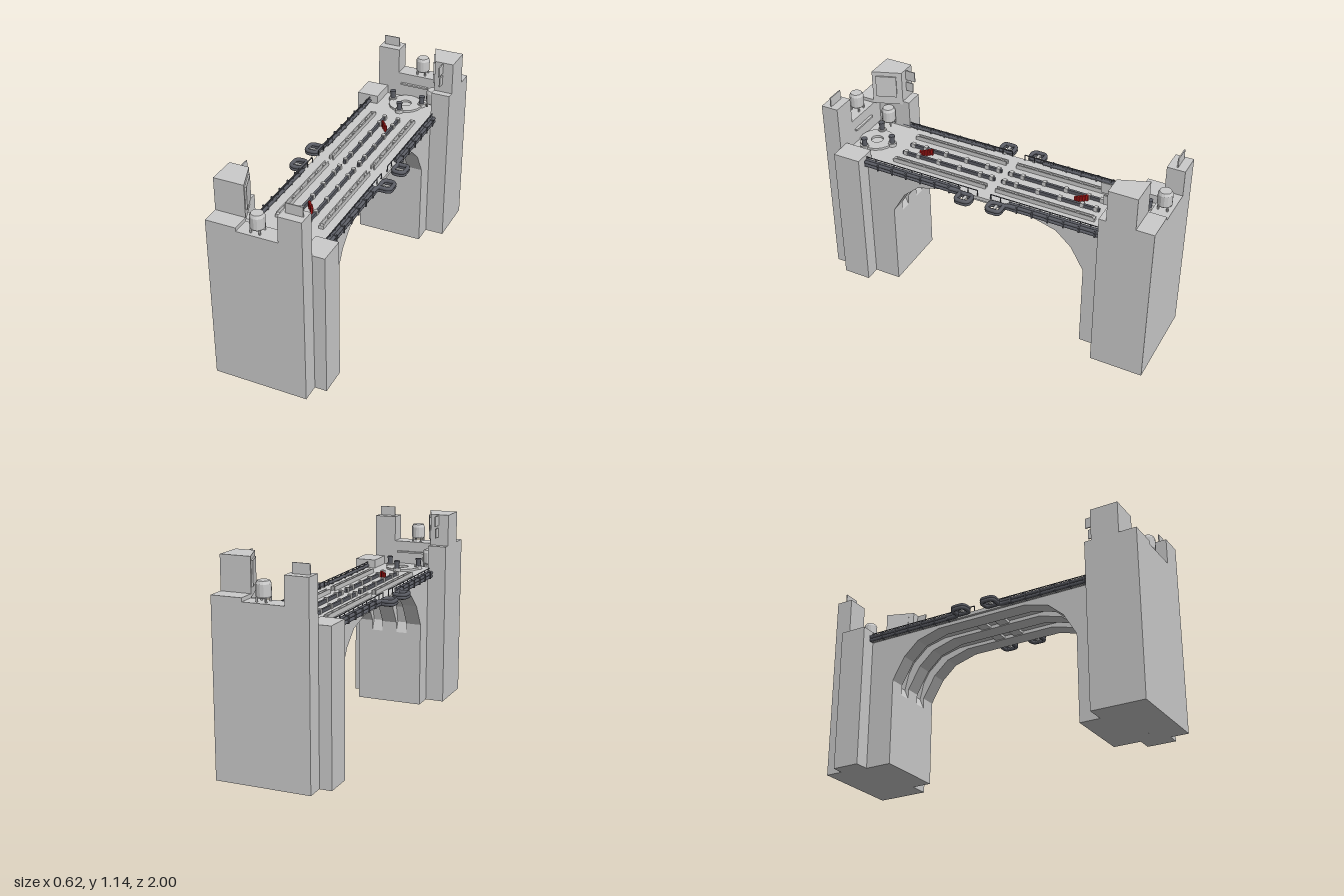
import * as THREE from 'three';

const grey = new THREE.MeshStandardMaterial({ color: 0xcccccc, flatShading: true });
const dark = new THREE.MeshStandardMaterial({ color: 0x5c5e66 });
const red = new THREE.MeshStandardMaterial({ color: 0xb01818 });

function add(group, name, geometry, material = grey) {
  const mesh = new THREE.Mesh(geometry, material);
  mesh.name = name;
  group.add(mesh);
  return mesh;
}

// Box given by its limits on each axis
function box(group, name, [x0, x1], [y0, y1], [z0, z1], material) {
  const g = new THREE.BoxGeometry(x1 - x0, y1 - y0, z1 - z0);
  g.translate((x0 + x1) / 2, (y0 + y1) / 2, (z0 + z1) / 2);
  return add(group, name, g, material);
}

function cylinder(group, name, r, y0, y1, x, z, sides, material) {
  const g = new THREE.CylinderGeometry(r, r, y1 - y0, sides);
  g.translate(x, (y0 + y1) / 2, z);
  return add(group, name, g, material);
}

const shapeOf = pts => new THREE.Shape(pts.map(p => new THREE.Vector2(...p)));

// Side profile of (z, y) points, extruded across x
function sideProfile(group, name, pts, x0, x1) {
  const g = new THREE.ExtrudeGeometry(shapeOf(pts), { depth: x1 - x0, bevelEnabled: false });
  g.rotateY(-Math.PI / 2).translate(x1, 0, 0);
  return add(group, name, g);
}

// Plan of (x, z) points, extruded between two heights
function plan(group, name, pts, y0, y1) {
  const g = new THREE.ExtrudeGeometry(shapeOf(pts), { depth: y1 - y0, bevelEnabled: false });
  g.rotateX(Math.PI / 2).translate(0, y1, 0);
  return add(group, name, g);
}

// Pipe along z with round section
function pipe(group, name, r, x, y, z0, z1) {
  const g = new THREE.CylinderGeometry(r, r, z1 - z0, 8);
  g.rotateX(Math.PI / 2).translate(x, y, (z0 + z1) / 2);
  return add(group, name, g, dark);
}

// Storage tank with tapered ends, standing on short legs
function tank(group, x, y, z) {
  const t = new THREE.Group();
  t.name = 'tank';
  const profile = [[0, 0.02], [0.034, 0.02], [0.04, 0.03], [0.04, 0.09], [0.032, 0.106], [0, 0.106]];
  add(t, 'tankBody', new THREE.LatheGeometry(profile.map(p => new THREE.Vector2(...p)), 14));
  for (let i = 0; i < 4; i++) {
    const a = Math.PI / 4 + i * Math.PI / 2;
    cylinder(t, 'tankLeg', 0.006, 0, 0.025, 0.035 * Math.cos(a), 0.035 * Math.sin(a), 6);
  }
  t.position.set(x, y, z);
  group.add(t);
}

// Pier, end wall and tower
function buildTower(g) {
  // End wall with a notch for the tank
  const wall = [[-0.31, 0], [0.22, 0], [0.22, 1.09], [0.09, 1.09], [0.09, 0.94], [-0.14, 0.94], [-0.14, 0.96], [-0.31, 0.96]];
  const wg = new THREE.ExtrudeGeometry(shapeOf(wall), { depth: 0.1, bevelEnabled: false });
  add(g, 'endWall', wg.translate(0, 0, 0.9));
  box(g, 'wallLedge', [-0.1, 0.07], [0.87, 0.88], [0.885, 0.9]);
  box(g, 'wallSign', [0.11, 0.205], [1.09, 1.145], [0.947, 0.953]);
  box(g, 'tallButtress', [-0.31, -0.2], [0, 0.96], [0.7, 0.9]);
  box(g, 'lowButtress', [0.16, 0.288], [0, 0.84], [0.74, 0.9]);
  // Tower with a slanted inner face carrying a screen
  plan(g, 'tower', [[-0.31, 0.74], [-0.2, 0.74], [-0.14, 0.9], [-0.31, 0.9]], 0.94, 1.145);
  const screen = add(g, 'screen', new THREE.BoxGeometry(0.012, 0.13, 0.118));
  screen.position.set(-0.166, 1.055, 0.824);
  screen.rotation.y = Math.atan2(0.06, 0.16);
  box(g, 'upperSign', [-0.25, -0.244], [1.08, 1.14], [0.68, 0.745]);
  box(g, 'lowerSign', [-0.25, -0.244], [1.01, 1.065], [0.695, 0.745]);
  tank(g, -0.045, 0.94, 0.95);
  tank(g, -0.165, 0.81, 0.82);
}

// Half of the arch: solid pier, three ribs and the recessed vault between them
function buildArch(g) {
  const ribProfile = [[0.9, 0], [0.9, 0.77], [0, 0.77], [0, 0.75], [0.28, 0.75], [0.42, 0.71], [0.51, 0.63], [0.585, 0.5], [0.585, 0]];
  const vault = [[0.9, 0], [0.9, 0.79], [0, 0.79], [0, 0.78], [0.3, 0.78], [0.46, 0.74], [0.55, 0.66], [0.585, 0.6], [0.61, 0.5], [0.585, 0.44], [0.585, 0]];
  for (const x of [-0.155, 0, 0.155]) sideProfile(g, 'archRib', ribProfile, x - 0.045, x + 0.045);
  for (const x of [-0.0775, 0.0775]) sideProfile(g, 'vault', vault, x - 0.0325, x + 0.0325);
  box(g, 'crossBeam', [-0.2, 0.2], [0.755, 0.78], [0.03, 0.09]);
  box(g, 'deck', [-0.215, 0.215], [0.77, 0.79], [0, 0.74]);
  box(g, 'deckEnd', [-0.2, 0.2], [0.765, 0.79], [0.74, 0.9]);
}

// Pipes, handrail and looped pipe end beside the deck
function buildSide(g, s) {
  for (const [dx, y] of [[0.208, 0.779], [0.222, 0.779], [0.222, 0.799], [0.208, 0.803]])
    pipe(g, 'sidePipe', 0.0095, s * dx, y, 0.15, 0.745);
  for (let z = 0.2; z < 0.74; z += 0.09)
    box(g, 'pipeClamp', [s * 0.218 - 0.017, s * 0.218 + 0.017], [0.769, 0.811], [z, z + 0.008], dark);
  pipe(g, 'handrail', 0.003, s * 0.208, 0.824, 0.04, 0.74);
  for (let z = 0.04; z < 0.74; z += 0.058)
    cylinder(g, 'railPost', 0.003, 0.785, 0.825, s * 0.208, z, 5, dark);

  const loop = [[0.225, 0.2], [0.225, 0.15], [0.237, 0.132], [0.28, 0.132], [0.297, 0.12], [0.297, 0.068], [0.28, 0.054], [0.245, 0.054], [0.232, 0.068], [0.232, 0.12], [0.237, 0.132]];
  for (const y of [0.782, 0.797]) {
    const curve = new THREE.CatmullRomCurve3(loop.map(([x, z]) => new THREE.Vector3(s * x, y, z)), false, 'catmullrom', 0.3);
    add(g, 'pipeLoop', new THREE.TubeGeometry(curve, 60, 0.0115, 8), dark);
  }
  box(g, 'loopBracket', [s * 0.252 - 0.045, s * 0.252 + 0.045], [0.783, 0.793], [0.085, 0.1]);
}

// Rails, barrier and mooring pegs on the deck
function buildDeck(g) {
  for (const s of [-1, 1]) {
    for (const dx of [-0.01, 0.01])
      box(g, 'troughWall', [s * 0.125 + dx - 0.003, s * 0.125 + dx + 0.003], [0.785, 0.815], [0.03, 0.6]);
    for (let z = 0.05; z < 0.6; z += 0.09)
      box(g, 'troughBlock', [s * 0.125 - 0.013, s * 0.125 + 0.013], [0.785, 0.81], [z, z + 0.02]);
    box(g, 'innerRail', [s * 0.042 - 0.007, s * 0.042 + 0.007], [0.785, 0.81], [0.02, 0.6], dark);
    for (const z of [0.03, 0.1, 0.23, 0.36, 0.49, 0.57])
      box(g, 'railBlock', [s * 0.042 - 0.011, s * 0.042 + 0.011], [0.785, 0.816], [z, z + 0.02]);
  }
  // Row of small red barrier posts
  for (let i = 0; i < 5; i++) {
    const x = -0.02 + i * 0.01, z = 0.45 + i * 0.0125;
    box(g, 'barrier', [x - 0.006, x + 0.006], [0.79, 0.825], [z - 0.006, z + 0.006], red);
  }
  // Round platform with three pegs
  const pad = new THREE.Shape().absarc(0, 0.8, 0.1, 0, Math.PI * 2);
  pad.holes.push(new THREE.Path().absarc(0, 0.8, 0.035, 0, Math.PI * 2, true));
  const pg = new THREE.ExtrudeGeometry(pad, { depth: 0.015, bevelEnabled: false, curveSegments: 8 });
  add(g, 'roundPlatform', pg.rotateX(Math.PI / 2).translate(0, 0.803, 0));
  for (const [x, z] of [[-0.093, 0.825], [0.093, 0.825], [0, 0.7]]) {
    cylinder(g, 'pegBase', 0.024, 0.785, 0.81, x, z, 12);
    cylinder(g, 'peg', 0.015, 0.8, 0.845, x, z, 12, dark);
    cylinder(g, 'pegCap', 0.018, 0.845, 0.855, x, z, 12, dark);
  }
}

export function createModel() {
  const model = new THREE.Group();
  model.name = 'bridge';
  const half = new THREE.Group();
  half.name = 'bridgeHalf';
  buildTower(half);
  buildArch(half);
  for (const s of [-1, 1]) buildSide(half, s);
  buildDeck(half);
  // The other half is the same, turned half a circle
  const other = half.clone();
  other.rotation.y = Math.PI;
  model.add(half, other);
  return model;
}
